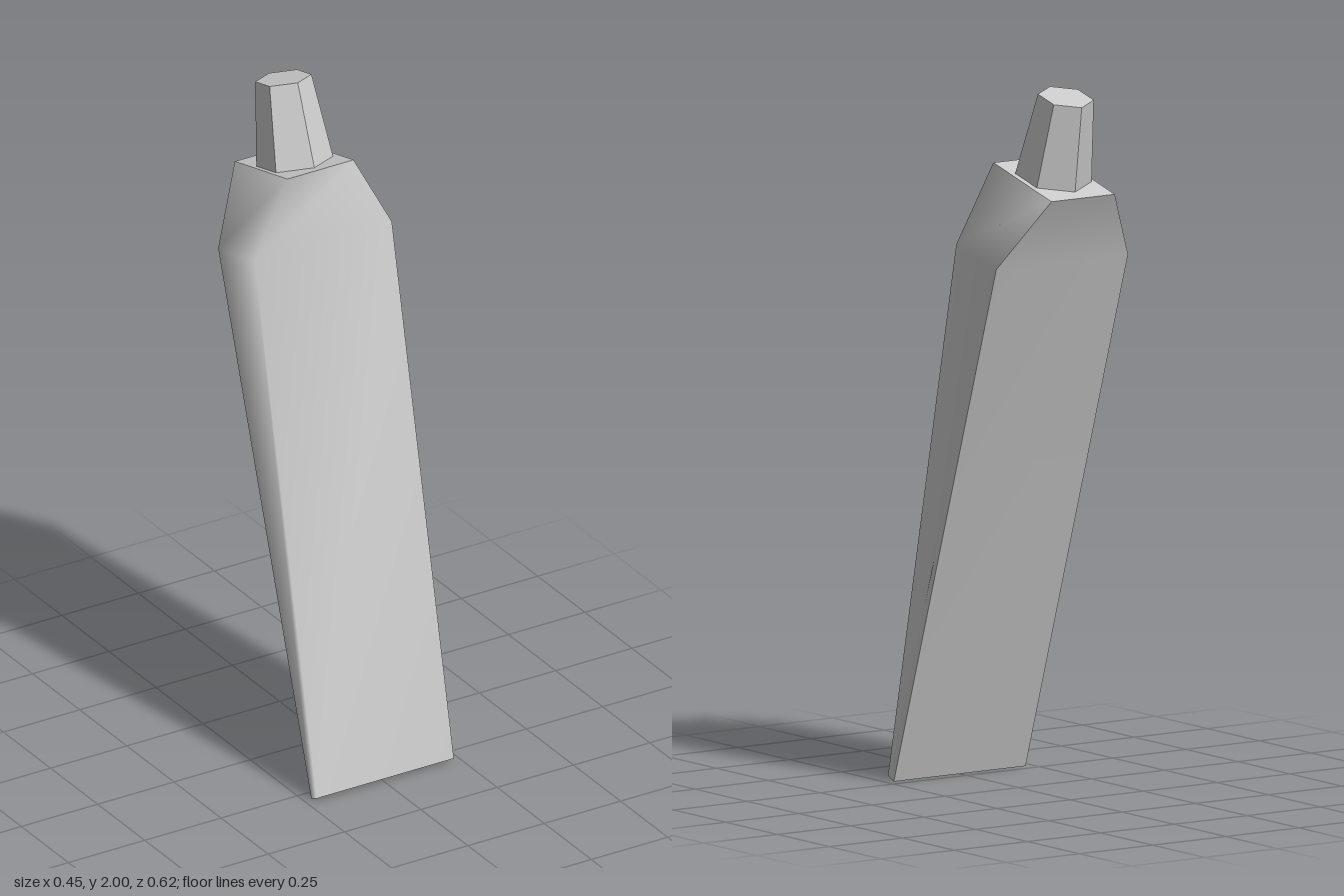
import * as THREE from 'three';

// Body sections from bottom to top: half width, front edge (y, z), back edge (y, z)
const SECTIONS = [
  { w: 0.225, front: [0.012, 0.311], back: [0, 0.283] },
  { w: 0.225, front: [1.56, -0.018], back: [1.515, -0.211] },
  { w: 0.108, front: [1.782, -0.032], back: [1.71, -0.312] },
];

// Joins rows of points into one smooth sheet; each row runs anticlockwise seen from above
function sheet(rows) {
  const n = rows[0].length;
  const index = [];
  for (let r = 0; r < rows.length - 1; r++) {
    for (let i = 0; i < n - 1; i++) {
      const a = r * n + i, b = a + 1, c = a + n, d = c + 1;
      index.push(a, b, d, a, d, c);
    }
  }
  const geometry = new THREE.BufferGeometry();
  geometry.setAttribute('position', new THREE.Float32BufferAttribute(rows.flat(2), 3));
  geometry.setIndex(index);
  geometry.computeVertexNormals();
  return geometry;
}

export function createModel() {
  const group = new THREE.Group();
  const material = new THREE.MeshStandardMaterial({ color: 0xcccccc });
  const flat = new THREE.MeshStandardMaterial({ color: 0xcccccc, flatShading: true });

  const add = (name, geometry, mat = material) => {
    const mesh = new THREE.Mesh(geometry, mat);
    mesh.name = name;
    group.add(mesh);
    return mesh;
  };

  const frontEdge = (s) => [[-s.w, ...s.front], [s.w, ...s.front]];
  const backEdge = (s) => [[s.w, ...s.back], [-s.w, ...s.back]];

  // Wedge-shaped tube: front and sides flow together, the back is a crisp panel
  add('tubeFrontAndSides', sheet(SECTIONS.map((s) => {
    const [bl, br] = backEdge(s);
    return [br, ...frontEdge(s), bl];
  })));
  add('tubeBack', sheet(SECTIONS.map(backEdge)));

  // Flat ends: crimped bottom and shoulder top
  const bottom = SECTIONS[0], top = SECTIONS[2];
  add('crimpedEnd', sheet([backEdge(bottom).reverse(), frontEdge(bottom)]));
  add('shoulderTop', sheet([frontEdge(top), backEdge(top).reverse()]));

  // Tapered hexagonal cap, square to the tilted shoulder
  const cap = add('cap', new THREE.CylinderGeometry(0.079, 0.108, 0.244, 6), flat);
  cap.position.set(-0.002, 1.865, -0.196);
  cap.rotation.x = -0.25;

  return group;
}
